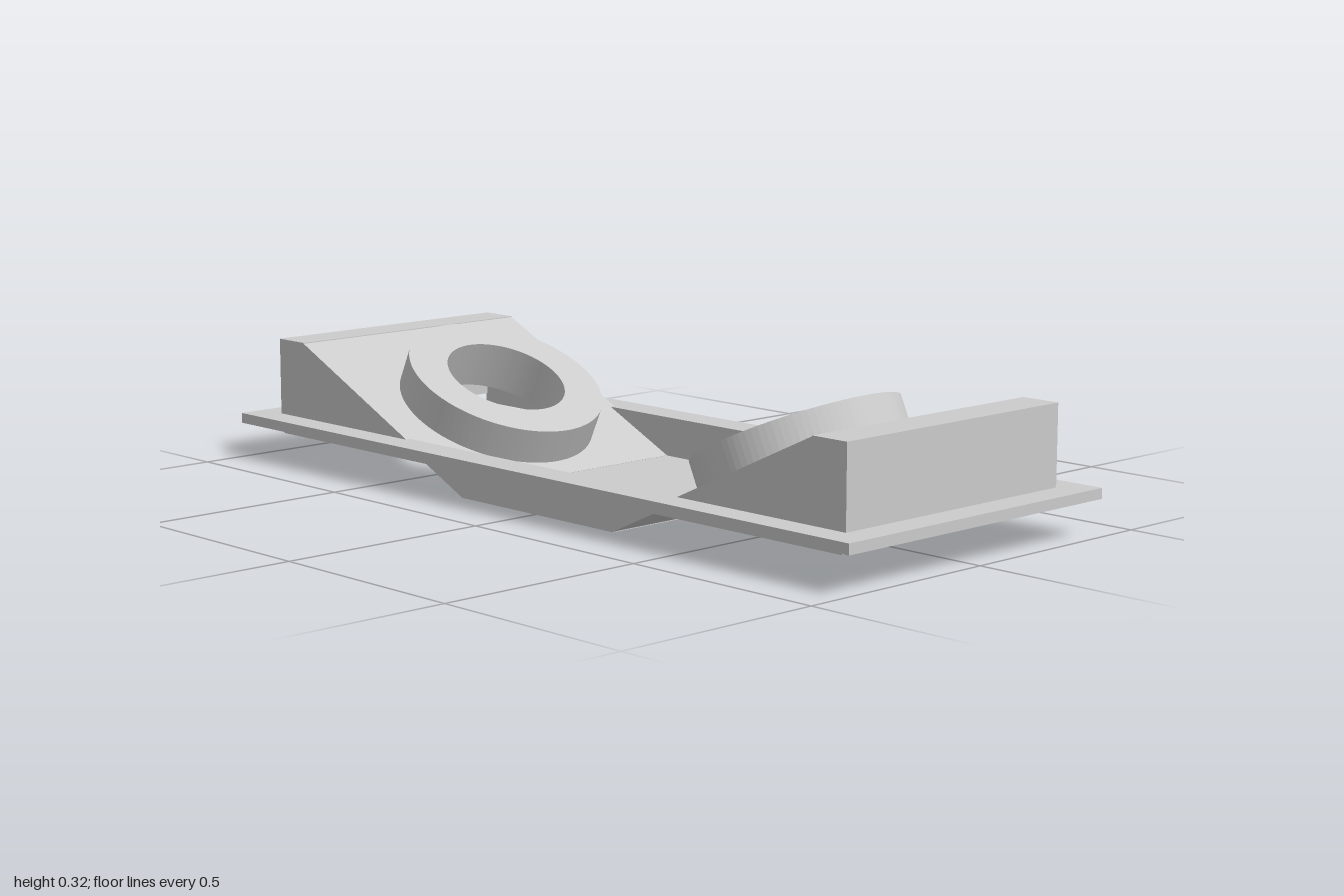
import * as THREE from 'three';

const material = new THREE.MeshStandardMaterial({ color: 0xcccccc, flatShading: true });
const WALL = 0.013;
const HALF_Z = 0.328;

function part(name, geometry, parent) {
  const mesh = new THREE.Mesh(geometry, material);
  mesh.name = name;
  parent.add(mesh);
  return mesh;
}

function box(name, parent, x0, x1, y0, y1, z0, z1) {
  const m = part(name, new THREE.BoxGeometry(x1 - x0, y1 - y0, z1 - z0), parent);
  m.position.set((x0 + x1) / 2, (y0 + y1) / 2, (z0 + z1) / 2);
  return m;
}

// Extrudes a shape between two local z levels
function slab(shape, z0, z1) {
  const g = new THREE.ExtrudeGeometry(shape, { depth: z1 - z0, bevelEnabled: false, curveSegments: 48 });
  return g.translate(0, 0, z0);
}

function rect(x0, x1, y0, y1) {
  return [[x0, y0], [x1, y0], [x1, y1], [x0, y1]].map(([x, y]) => new THREE.Vector2(x, y));
}

function circle(r) {
  return new THREE.Path().absarc(0, 0, r, 0, Math.PI * 2, true);
}

function disc(r, hole) {
  const s = new THREE.Shape().absarc(0, 0, r, 0, Math.PI * 2, false);
  s.holes.push(circle(hole));
  return s;
}

// Ring with a gently scalloped outer edge
function scallopedRing(r, wave, count, hole) {
  const pts = [];
  const n = count * 8;
  for (let i = 0; i < n; i++) {
    const a = (i / n) * Math.PI * 2;
    const d = r + wave * Math.abs(Math.sin(a * count / 2));
    pts.push(new THREE.Vector2(Math.cos(a) * d, Math.sin(a) * d));
  }
  const s = new THREE.Shape(pts);
  s.holes.push(circle(hole));
  return s;
}

// One raised end with its tilted panel and round collar
function makeEnd(name) {
  const end = new THREE.Group();
  end.name = name;
  box('endWall', end, 0.93 - WALL, 0.93, 0.085, 0.29, -HALF_Z, HALF_Z);
  box('topLedge', end, 0.835, 0.93, 0.29 - WALL, 0.29, -HALF_Z, HALF_Z);

  // Tilted frame: local x runs up the slope, local z is the slope normal
  const tilt = new THREE.Group();
  tilt.name = 'tiltedMount';
  const a = Math.atan2(0.277, 0.59);
  const u = new THREE.Vector3(Math.cos(a), Math.sin(a), 0);
  const n = new THREE.Vector3(-Math.sin(a), Math.cos(a), 0);
  const v = new THREE.Vector3().crossVectors(n, u);
  tilt.quaternion.setFromRotationMatrix(new THREE.Matrix4().makeBasis(u, v, n));
  tilt.position.set(0.475, 0.215, 0);
  end.add(tilt);

  const panel = new THREE.Shape(rect(-0.289, 0.362, -HALF_Z, HALF_Z));
  panel.holes.push(circle(0.145));
  part('slopePanel', slab(panel, -0.099, -0.087), tilt);
  part('collar', slab(disc(0.239, 0.145), -0.087, 0), tilt);
  part('lowerSleeve', slab(disc(0.186, 0.145), -0.116, -0.099), tilt);
  part('scallopedRing', slab(scallopedRing(0.226, 0.011, 18, 0.186), -0.113, -0.099), tilt);
  return end;
}

export function createModel() {
  const model = new THREE.Group();
  model.name = 'doubleMountTray';

  // Thin rim with a rectangular opening
  const rim = new THREE.Shape(rect(-1, 1, -0.395, 0.395));
  rim.holes.push(new THREE.Path(rect(-0.917, 0.917, -0.315, 0.315)));
  const flange = part('flange', slab(rim, 0, 0.024), model);
  flange.rotation.x = -Math.PI / 2;
  flange.position.y = 0.083;

  // Trough floor between the slopes
  box('floor', model, -0.253, 0.253, 0, WALL, -HALF_Z, HALF_Z);

  // Side walls: wedge sides, trough sides and the lip below the flange
  const half = [[0.25, 0], [0.378, 0.06], [0.92, 0.06], [0.92, 0.083],
    [0.93, 0.083], [0.93, 0.29], [0.84, 0.29], [0.45, 0.107]];
  const outline = [...half, ...half.map(([x, y]) => [-x, y]).reverse()];
  const side = new THREE.Shape(outline.map(([x, y]) => new THREE.Vector2(x, y)));
  part('frontSideWall', slab(side, HALF_Z - WALL, HALF_Z), model);
  part('backSideWall', slab(side, -HALF_Z, WALL - HALF_Z), model);

  // Matching ends
  model.add(makeEnd('leftEnd'));
  const right = makeEnd('rightEnd');
  right.rotation.y = Math.PI;
  model.add(right);
  return model;
}
